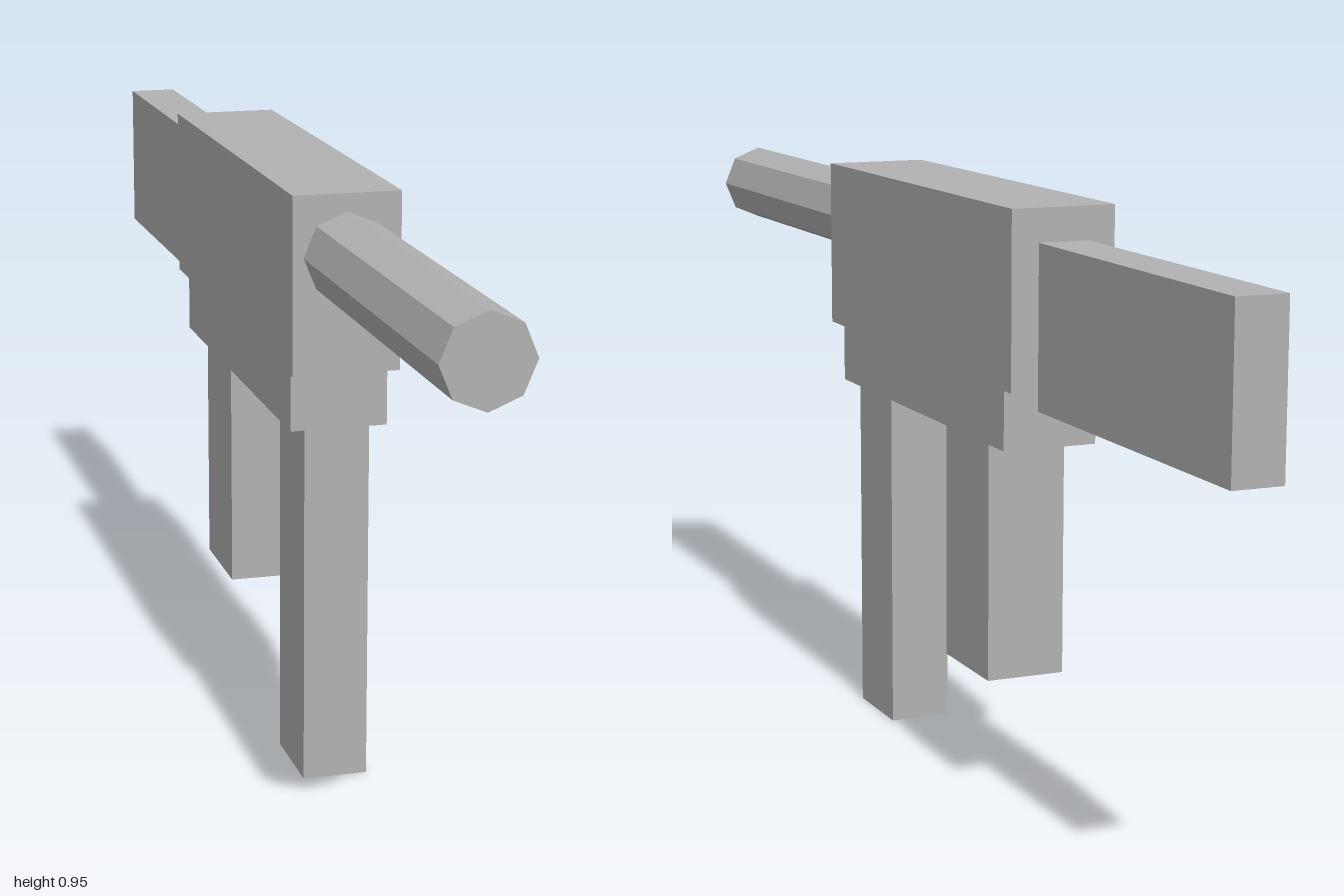
import * as THREE from 'three';

export function createModel() {
  const model = new THREE.Group();
  const grey = new THREE.MeshStandardMaterial({ color: 0xb2b2b2 });
  grey.name = 'grey';

  const add = (name, geometry, y, z) => {
    const mesh = new THREE.Mesh(geometry, grey);
    mesh.name = name;
    mesh.position.set(0, y, z);
    model.add(mesh);
  };

  // Box given by its width and its extents in y and z
  const block = (name, width, y0, y1, z0, z1) =>
    add(name, new THREE.BoxGeometry(width, y1 - y0, z1 - z0), (y0 + y1) / 2, (z0 + z1) / 2);

  block('body', 0.168, 0.673, 0.948, -0.403, 0.361);
  block('lowerFrame', 0.153, 0.577, 0.673, -0.36, 0.321);
  block('frontPost', 0.103, 0, 0.577, 0.165, 0.311);
  block('rearGrip', 0.128, 0.193, 0.577, -0.275, -0.107);
  block('rearStock', 0.08, 0.643, 0.896, -1, -0.403);

  // Eight-sided barrel pointing forward, with a corner at the top
  const barrel = new THREE.CylinderGeometry(0.067, 0.067, 0.639, 8).toNonIndexed();
  barrel.rotateX(Math.PI / 2);
  barrel.computeVertexNormals();
  add('barrel', barrel, 0.853, 0.6805);

  return model;
}
